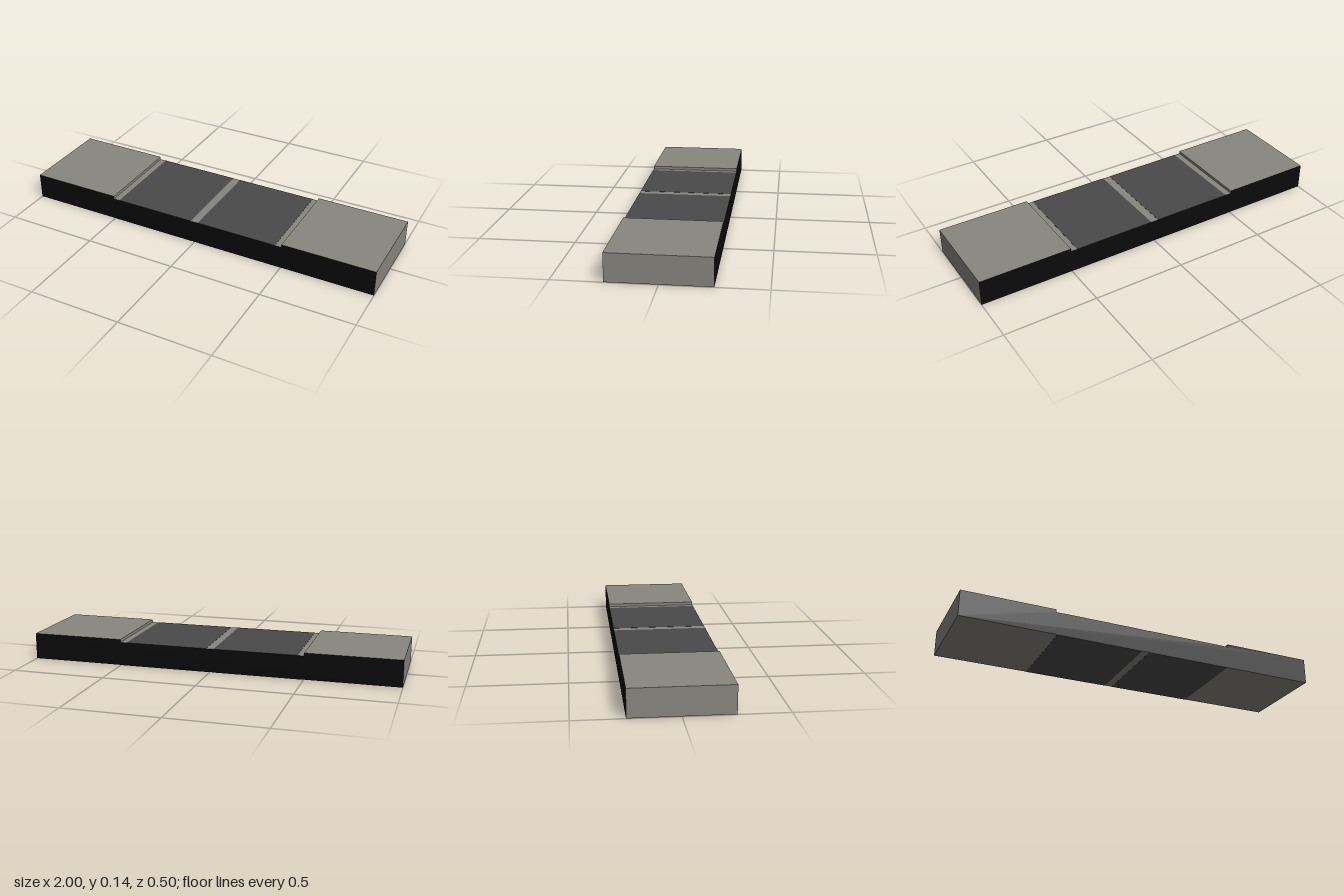
import * as THREE from 'three';

export function createModel() {
  const model = new THREE.Group();
  model.name = 'steppedSlab';

  const mat = (name, color) => {
    const m = new THREE.MeshStandardMaterial({ color });
    m.name = name;
    return m;
  };
  const stone = mat('warm grey', 0x88867f);
  const panel = mat('dark grey', 0x4a4a4a);
  const black = mat('black', 0x0b0b0b);

  const depth = 0.5, endTop = 0.142, midTop = 0.126, skin = 0.001;

  // Slab profile with raised ends; black front and back, grey all round
  const profile = new THREE.Shape([
    [-1, skin], [1, skin], [1, endTop], [0.5, endTop],
    [0.5, midTop], [-0.5, midTop], [-0.5, endTop], [-1, endTop],
  ].map(([x, y]) => new THREE.Vector2(x, y)));
  const bodyGeo = new THREE.ExtrudeGeometry(profile, { depth, bevelEnabled: false });
  bodyGeo.translate(0, 0, -depth / 2);
  const body = new THREE.Mesh(bodyGeo, [black, stone]);
  body.name = 'slab';
  model.add(body);

  // Thin dark panels either side of the centre stripe, above and below
  const addPanel = (name, inner, outer, y, side) => {
    const mesh = new THREE.Mesh(new THREE.BoxGeometry(outer - inner, skin, depth), panel);
    mesh.position.set(side * (inner + outer) / 2, y, 0);
    mesh.name = name;
    model.add(mesh);
  };
  for (const [label, side] of [['left', 1], ['right', -1]]) {
    addPanel(label + 'TopPanel', 0.021, 0.465, midTop + skin / 2, side);
    addPanel(label + 'BottomPanel', 0.021, 0.49, skin / 2, side);
  }

  return model;
}
